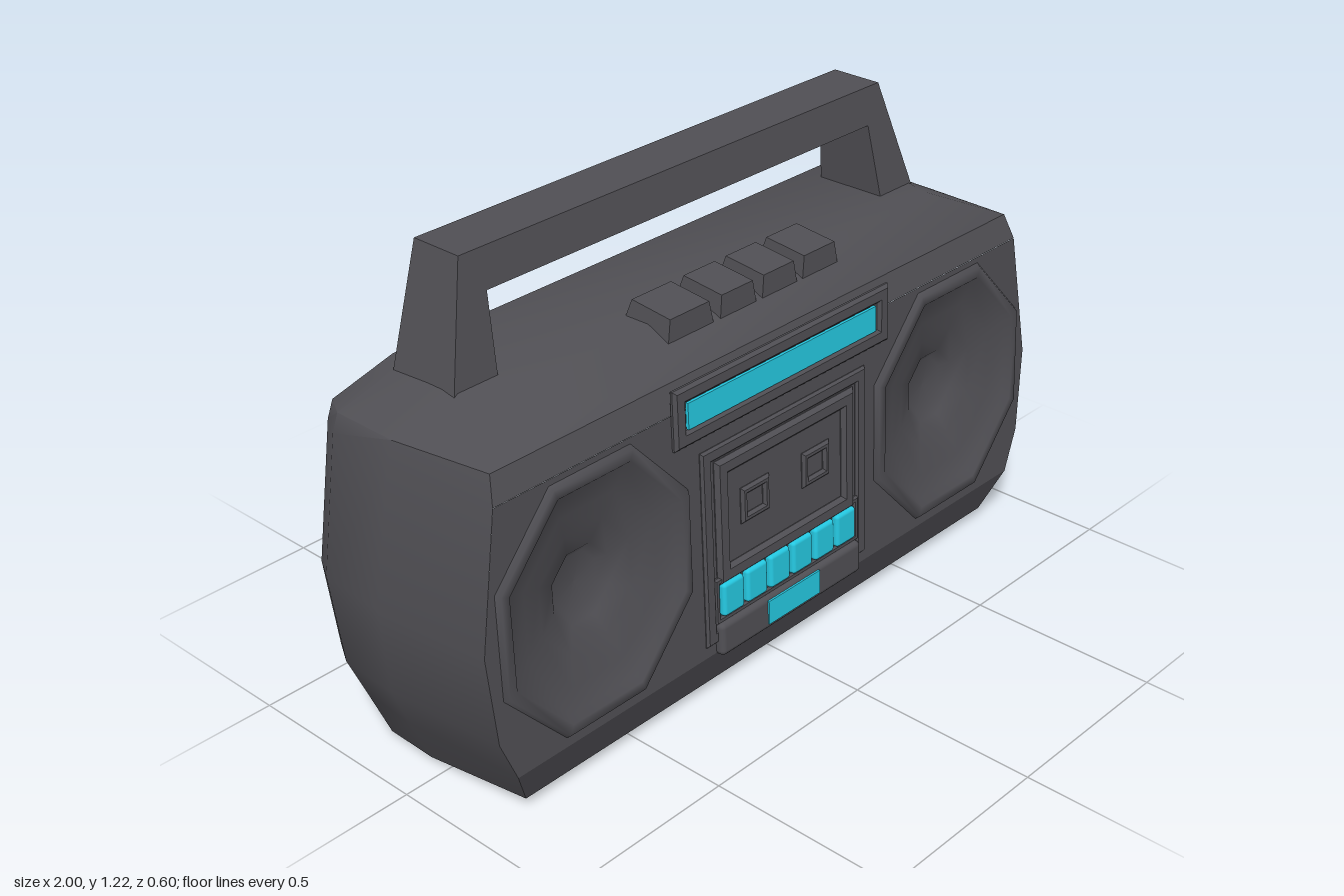
import * as THREE from 'three';
import { toCreasedNormals } from 'three/addons/utils/BufferGeometryUtils.js';
import { RoundedBoxGeometry } from 'three/addons/geometries/RoundedBoxGeometry.js';

const TILT = 0.0435;   // the front face leans back slightly
const FACE_Z = 0.281;  // depth of the front face at y = 0
const faceZ = (y) => FACE_Z - TILT * y;

// Height levels of the case: half width, front y, back y, front z, back z
const LEVELS = [
  [0.88, 0.03, 0.003, 0.235, -0.262],
  [0.935, 0.14, 0.14, faceZ(0.14), -0.27],
  [0.98, 0.25, 0.25, faceZ(0.25), -0.28],
  [1.0, 0.48, 0.48, faceZ(0.48), -0.297],
  [0.942, 0.82, 0.82, faceZ(0.82), -0.303],
  [0.925, 0.885, 0.862, 0.222, -0.303],
  [0.79, 0.945, 0.942, 0.07, -0.25],
];
const FACE_FROM = 1, FACE_TO = 4;  // levels spanned by the front face
const SPEAKER = { x: 0.632, y: 0.485, stretch: 1.08 };
const OCT = Math.cos(Math.PI / 8);

function mesh(name, geometry, material, parent, x = 0, y = 0, z = 0) {
  const m = new THREE.Mesh(geometry, material);
  m.name = name;
  m.position.set(x, y, z);
  parent.add(m);
  return m;
}

const polygon = (pts) => new THREE.Shape(pts.map(([x, y]) => new THREE.Vector2(x, y)));
const rectangle = (w, h) => polygon([[-w / 2, -h / 2], [w / 2, -h / 2], [w / 2, h / 2], [-w / 2, h / 2]]);

// Case shell from stacked rings, left open where the front face sits
function caseGeometry() {
  const rings = LEVELS.map(([w, yf, yb, zf, zb]) => {
    const half = [[w - 0.03, zf], [w, -0.05], [w - 0.01, zb + 0.06], [w - 0.045, zb]];
    const loop = [...half, ...half.map(([x, z]) => [-x, z]).reverse()];
    return loop.map(([x, z]) => [x, yb + (yf - yb) * (z - zb) / (zf - zb), z]);
  });
  const n = 8, out = [];
  for (let i = 0; i < rings.length - 1; i++) {
    for (let k = 0; k < n; k++) {
      if (k === n - 1 && i >= FACE_FROM && i < FACE_TO) continue;
      const a = rings[i][k], b = rings[i][(k + 1) % n];
      const c = rings[i + 1][(k + 1) % n], d = rings[i + 1][k];
      out.push(...a, ...b, ...c, ...a, ...c, ...d);
    }
  }
  const low = rings[0], top = rings[rings.length - 1];
  for (let k = 1; k < n - 1; k++) {
    out.push(...low[0], ...low[k + 1], ...low[k], ...top[0], ...top[k], ...top[k + 1]);
  }
  const g = new THREE.BufferGeometry();
  g.setAttribute('position', new THREE.Float32BufferAttribute(out, 3));
  return toCreasedNormals(g, 0.75);
}

// Front face with two octagonal speaker openings
function faceGeometry() {
  const side = LEVELS.slice(FACE_FROM, FACE_TO + 1).map((l) => [l[0] - 0.03, l[1]]);
  const shape = polygon([...side, ...side.map(([x, y]) => [-x, y]).reverse()]);
  for (const s of [-1, 1]) {
    const hole = new THREE.Path();
    for (let k = 0; k < 8; k++) {
      const a = Math.PI / 8 + k * Math.PI / 4, r = 0.27 / OCT;
      const x = s * SPEAKER.x + r * Math.cos(a), y = SPEAKER.y + r * SPEAKER.stretch * Math.sin(a);
      if (k) hole.lineTo(x, y); else hole.moveTo(x, y);
    }
    hole.closePath();
    shape.holes.push(hole);
  }
  return new THREE.ShapeGeometry(shape);
}

// Eight-sided raised rim running into a hollow cone
function speakerGeometry() {
  const profile = [[0.3, -0.006], [0.288, 0.012], [0.265, 0.012], [0.252, -0.004], [0.2, -0.018],
    [0.14, -0.036], [0.085, -0.055], [0.065, -0.075], [0, -0.078]];
  const g = new THREE.LatheGeometry(
    profile.map(([r, h]) => new THREE.Vector2(r / OCT, h)), 8, Math.PI / 8);
  return g.rotateX(Math.PI / 2).scale(1, SPEAKER.stretch, 1);
}

// Bevelled rectangular frame
function frameGeometry(w, h, border, depth, bevel) {
  const shape = rectangle(w - 2 * bevel, h - 2 * bevel);
  shape.holes.push(rectangle(w - 2 * border + 2 * bevel, h - 2 * border + 2 * bevel));
  return new THREE.ExtrudeGeometry(shape, {
    depth, bevelEnabled: true, bevelSize: bevel, bevelThickness: bevel, bevelSegments: 1,
  });
}

// Box whose top is narrower than its base
function taperedBox(w, h, d, topX, topZ) {
  const g = new THREE.BoxGeometry(w, h, d);
  const p = g.attributes.position;
  for (let i = 0; i < p.count; i++) {
    if (p.getY(i) > 0) p.setXYZ(i, p.getX(i) * topX, p.getY(i), p.getZ(i) * topZ);
  }
  g.computeVertexNormals();
  return g;
}

// Carrying handle: an arch whose front leans back towards the top
function handleGeometry() {
  const half = [[0.665, 0.9], [0.648, 1.13], [-0.648, 1.13], [-0.665, 0.9],
    [-0.8, 0.9], [-0.707, 1.224], [0.707, 1.224], [0.8, 0.9]];
  const g = new THREE.ExtrudeGeometry(polygon(half), { depth: 1, bevelEnabled: false });
  const p = g.attributes.position;
  for (let i = 0; i < p.count; i++) {
    const front = 0.004 - 0.2 * (p.getY(i) - 0.92);
    p.setZ(i, p.getZ(i) > 0.5 ? front : -0.197);
  }
  g.computeVertexNormals();
  return g;
}

export function createModel() {
  const model = new THREE.Group();
  model.name = 'boombox';
  const dark = new THREE.MeshStandardMaterial({ color: 0x504f54 });
  dark.name = 'charcoal plastic';
  const cyan = new THREE.MeshStandardMaterial({ color: 0x25c9e2 });
  cyan.name = 'cyan plastic';

  mesh('case', caseGeometry(), dark, model);
  mesh('handle', handleGeometry(), dark, model);

  // Buttons on the sloping top edge
  for (const [x, w] of [[-0.195, 0.162], [-0.034, 0.134], [0.112, 0.134], [0.26, 0.14]]) {
    const b = mesh('topButton', taperedBox(w, 0.085, 0.15, 0.8, 0.8), dark, model, x, 0.938, 0.068);
    b.rotation.x = 0.1;
  }

  // Everything on the front shares its slight lean
  const front = new THREE.Group();
  front.name = 'front';
  front.position.z = FACE_Z;
  front.rotation.x = -Math.atan(TILT);
  model.add(front);
  mesh('frontFace', faceGeometry(), dark, front);
  for (const s of [-1, 1]) {
    mesh(s < 0 ? 'rightSpeaker' : 'leftSpeaker', speakerGeometry(), dark, front, s * SPEAKER.x, SPEAKER.y);
  }

  // Tuner display
  mesh('displayFrame', frameGeometry(0.76, 0.15, 0.04, 0.006, 0.008), dark, front, 0, 0.805, 0);
  mesh('display', new THREE.BoxGeometry(0.665, 0.066, 0.008), cyan, front, -0.004, 0.805, 0.008);

  // Cassette door with two spool windows
  mesh('cassetteBay', frameGeometry(0.59, 0.52, 0.035, 0.002, 0.006), dark, front, 0, 0.43, 0);
  mesh('cassetteDoor', frameGeometry(0.5, 0.33, 0.045, 0.002, 0.01), dark, front, 0, 0.485, 0);
  for (const x of [-0.112, 0.108]) {
    mesh('spoolWindow', frameGeometry(0.1, 0.095, 0.022, 0.002, 0.007), dark, front, x, 0.497, 0);
  }

  // Playback keys in their tray
  mesh('keyTray', frameGeometry(0.53, 0.125, 0.018, 0.004, 0.005), dark, front, 0, 0.281, 0);
  for (let i = 0; i < 6; i++) {
    mesh('playbackKey', new RoundedBoxGeometry(0.073, 0.09, 0.036, 2, 0.01), cyan, front,
      -0.208 + i * 0.0832, 0.281, 0);
  }

  // Ledge and cyan tab below the keys
  mesh('tabLedge', new RoundedBoxGeometry(0.52, 0.09, 0.044, 2, 0.015), dark, front, 0, 0.178, 0);
  mesh('tab', new THREE.BoxGeometry(0.19, 0.064, 0.008), cyan, front, -0.002, 0.182, 0.022);

  return model;
}
